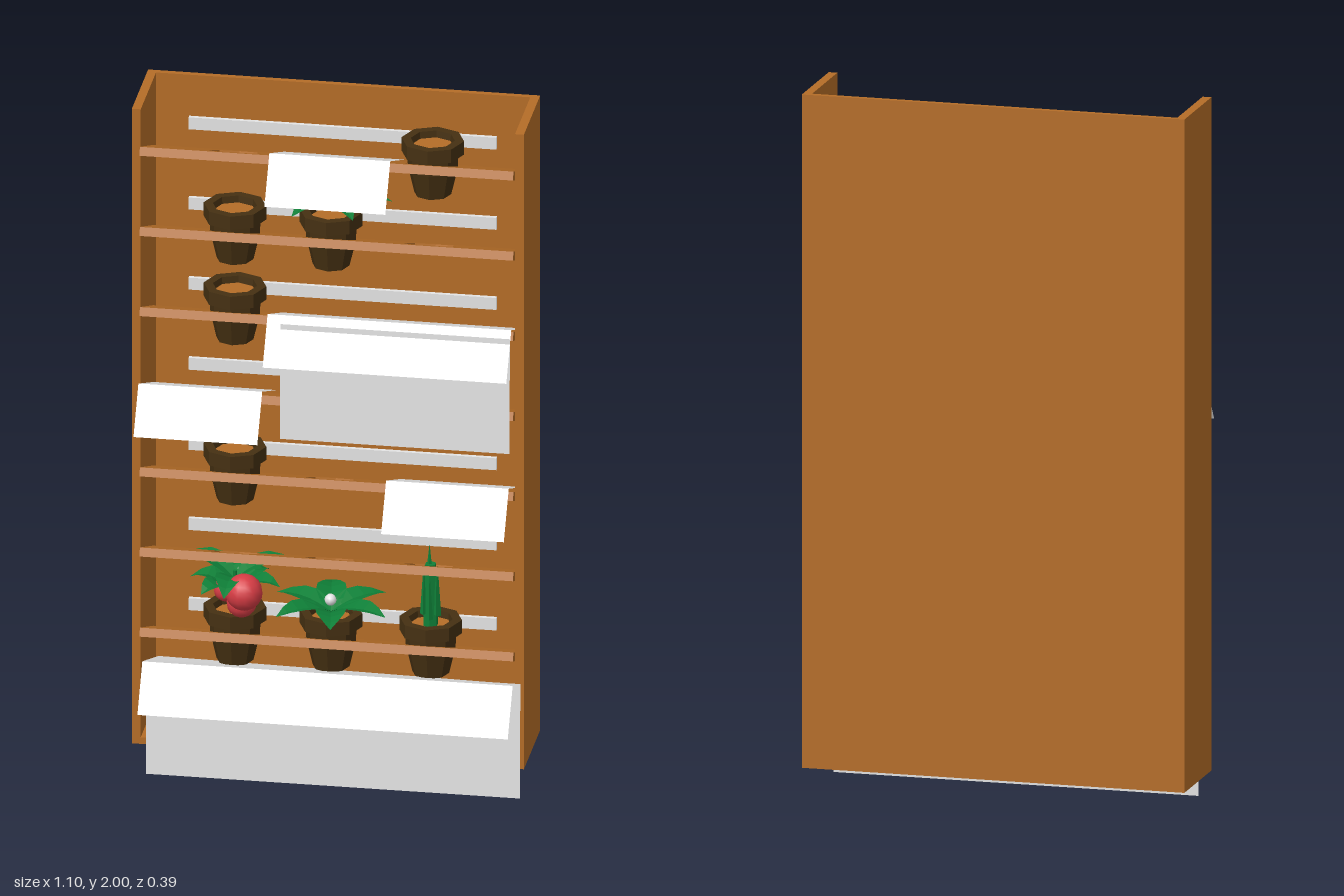
import * as THREE from 'three';

const mat = (name, color, side = THREE.FrontSide) => {
  const m = new THREE.MeshStandardMaterial({ color, side });
  m.name = name;
  return m;
};
const wood = mat('wood', 0xb56d27);
const paper = mat('white panel', 0xe4e4e4, THREE.DoubleSide);
const clay = mat('dark pot', 0x453012);
const green = mat('leaf green', 0x0f8038, THREE.DoubleSide);
const red = mat('fruit red', 0xd63c44);

function add(parent, name, geo, material, x = 0, y = 0, z = 0) {
  const mesh = new THREE.Mesh(geo, material);
  mesh.name = name;
  mesh.position.set(x, y, z);
  parent.add(mesh);
  return mesh;
}

// faceted normals
function flat(geo) {
  const g = geo.index ? geo.toNonIndexed() : geo;
  g.computeVertexNormals();
  return g;
}

// strip of faces between rows of points, all rows the same length
function loft(rows) {
  const n = rows[0].length, index = [];
  for (let i = 0; i < rows.length - 1; i++) {
    for (let j = 0; j < n - 1; j++) {
      const a = i * n + j, b = a + n;
      index.push(a, b, a + 1, a + 1, b, b + 1);
    }
  }
  const g = new THREE.BufferGeometry();
  g.setAttribute('position', new THREE.Float32BufferAttribute(rows.flat(2), 3));
  g.setIndex(index);
  return flat(g);
}

// arching leaf that grows along +z, folded along its middle
function leafGeometry(len, width, rise, droop) {
  const rows = [];
  for (let i = 0; i <= 5; i++) {
    const t = i / 5;
    const w = width / 2 * Math.sin(Math.PI * (0.1 + 0.9 * t)) + 0.0005;
    const y = rise * t - droop * t * t;
    rows.push([[-w, y + w * 0.3, len * t], [0, y, len * t], [w, y + w * 0.3, len * t]]);
  }
  return loft(rows);
}

function leaves(parent, count, turn, y, ...shape) {
  for (let i = 0; i < count; i++) {
    add(parent, 'leaf', leafGeometry(...shape), green, 0, y, 0)
      .rotation.y = turn + i * 2 * Math.PI / count;
  }
}

const TILT = 0.385, THICK = 0.025, DEPTH = 0.244;
const COLS = [-0.275, -0.005, 0.275];

// sloping shelf with three octagonal pot holes
function shelfGeometry() {
  const s = new THREE.Shape();
  s.moveTo(-0.525, 0).lineTo(0.525, 0).lineTo(0.525, DEPTH).lineTo(-0.525, DEPTH).closePath();
  for (const cx of COLS) {
    const pts = [];
    for (let i = 0; i < 8; i++) {
      const a = -i * Math.PI / 4;
      pts.push(new THREE.Vector2(cx + 0.076 * Math.cos(a), 0.119 + 0.08 * Math.sin(a)));
    }
    s.holes.push(new THREE.Path(pts));
  }
  return new THREE.ExtrudeGeometry(s, { depth: THICK, bevelEnabled: false }).rotateX(-Math.PI / 2);
}

// eight-sided pot whose rim top is the local origin
function makePot(parent, x, y) {
  const pot = new THREE.Group();
  pot.name = 'pot';
  pot.position.set(x, y, -0.003);
  const profile = [[0, -0.162], [0.052, -0.162], [0.07, -0.085], [0.072, -0.04],
    [0.088, -0.04], [0.088, 0], [0.062, 0], [0.058, -0.04]].map(p => new THREE.Vector2(...p));
  add(pot, 'potShell', flat(new THREE.LatheGeometry(profile, 8)), clay);
  add(pot, 'soil', new THREE.CircleGeometry(0.062, 8).rotateX(-Math.PI / 2), wood, 0, -0.02, 0);
  parent.add(pot);
  return pot;
}

// folded sheet: lies on the shelf, then flaps down over its front
function makeCard(parent, x0, x1, y, skew = 0, back = -0.14) {
  const row = (yy, z, dz = 0) => [[x0, yy, z - dz], [x1, yy, z + dz]];
  add(parent, 'foldedSheet', loft([
    row(y - 0.102, back, skew), row(y, 0.108), row(y - 0.126, 0.192),
  ]), paper);
}

function makeDrape(parent, x0, x1, top, bottom, z) {
  add(parent, 'hangingSheet', loft([
    [[x0, top, z], [x1, top, z]], [[x0, bottom, z + 0.01], [x1, bottom, z + 0.01]],
  ]), paper);
}

// berry bush
function berryPlant(pot) {
  leaves(pot, 6, 0.4, 0.03, 0.13, 0.085, 0.16, 0.12);
  leaves(pot, 3, 0, 0.08, 0.19, 0.08, 0.14, 0.12);
  add(pot, 'stem', new THREE.CylinderGeometry(0.006, 0.008, 0.13, 6), green, 0, 0.04, 0);
  for (const [x, y, z, r] of [[0.042, 0.085, 0.1, 0.052], [0.03, 0.04, 0.07, 0.042], [-0.02, 0.06, 0.03, 0.035]]) {
    add(pot, 'berry', new THREE.SphereGeometry(r, 14, 10), red, x, y, z);
  }
}

// low rosette with a white blossom
function rosette(pot) {
  leaves(pot, 6, 0.15, 0.0, 0.175, 0.085, 0.09, 0.07);
  add(pot, 'blossom', new THREE.SphereGeometry(0.017, 8, 6), paper, 0, 0.04, 0.01);
}

// tall column of upright blades
function tallPlant(pot) {
  add(pot, 'stalk', flat(new THREE.CylinderGeometry(0.016, 0.022, 0.19, 6)), green, 0, 0.07, 0);
  for (let i = 0; i < 6; i++) {
    const a = i * Math.PI / 3;
    add(pot, 'blade', flat(new THREE.ConeGeometry(0.01, 0.15, 4)), green,
      0.021 * Math.sin(a), 0.08 + 0.012 * (i % 2), 0.021 * Math.cos(a));
  }
  add(pot, 'bud', flat(new THREE.ConeGeometry(0.008, 0.07, 5)), green, -0.003, 0.19, 0);
}

// spreading leaves with upright centre leaves
function fern(pot) {
  leaves(pot, 6, Math.PI / 6, 0, 0.172, 0.065, 0.14, 0.1);
  leaves(pot, 5, 0, 0, 0.06, 0.045, 0.13, 0.02);
}

export function createModel() {
  const model = new THREE.Group();
  model.name = 'plantShelf';

  // cabinet, open at the top and front
  const box = (name, w, h, d, x, y, z) => add(model, name, new THREE.BoxGeometry(w, h, d), wood, x, y, z);
  for (const s of [-1, 1]) box('sideWall', 0.025, 1.92, 0.276, s * 0.5385, 1.04, -0.057);
  box('backWall', 1.052, 1.92, 0.017, 0, 1.04, -0.1865);
  box('floor', 1.052, 0.02, 0.259, 0, 0.09, -0.0485);

  // shelves and the light strip behind each
  const shelf = shelfGeometry();
  const level = i => 1.895 - 0.2425 * i;
  for (let i = 0; i < 7; i++) {
    add(model, 'shelf', shelf, wood, 0, level(i) - 0.023, 0.11).rotation.x = -TILT;
    add(model, 'lightStrip', new THREE.BoxGeometry(0.865, 0.036, 0.013), paper, 0, level(i) - 0.037, -0.1725);
  }

  // pots: [shelf, column, planting]
  const pots = [[0, 2], [1, 0], [1, 1, fern], [2, 0], [3, 1], [3, 2], [4, 0],
    [6, 0, berryPlant], [6, 1, rosette], [6, 2, tallPlant]];
  for (const [row, col, plant] of pots) {
    const pot = makePot(model, COLS[col] + (row === 0 ? 0.006 : 0), level(row) + 0.042 - (row === 0 ? 0.006 : 0));
    if (plant) plant(pot);
  }

  // sheets over the shelves
  makeCard(model, -0.16, 0.18, 1.905);
  makeCard(model, -0.165, 0.52, 1.418);
  makeCard(model, -0.528, -0.18, 1.182);
  makeCard(model, 0.168, 0.513, 0.938);
  makeCard(model, -0.517, 0.524, 0.342, 0.016, -0.151);
  makeDrape(model, -0.125, 0.52, 1.4, 1.057, 0.13);
  makeDrape(model, -0.508, 0.543, 0.342, 0, 0.092);

  return model;
}
